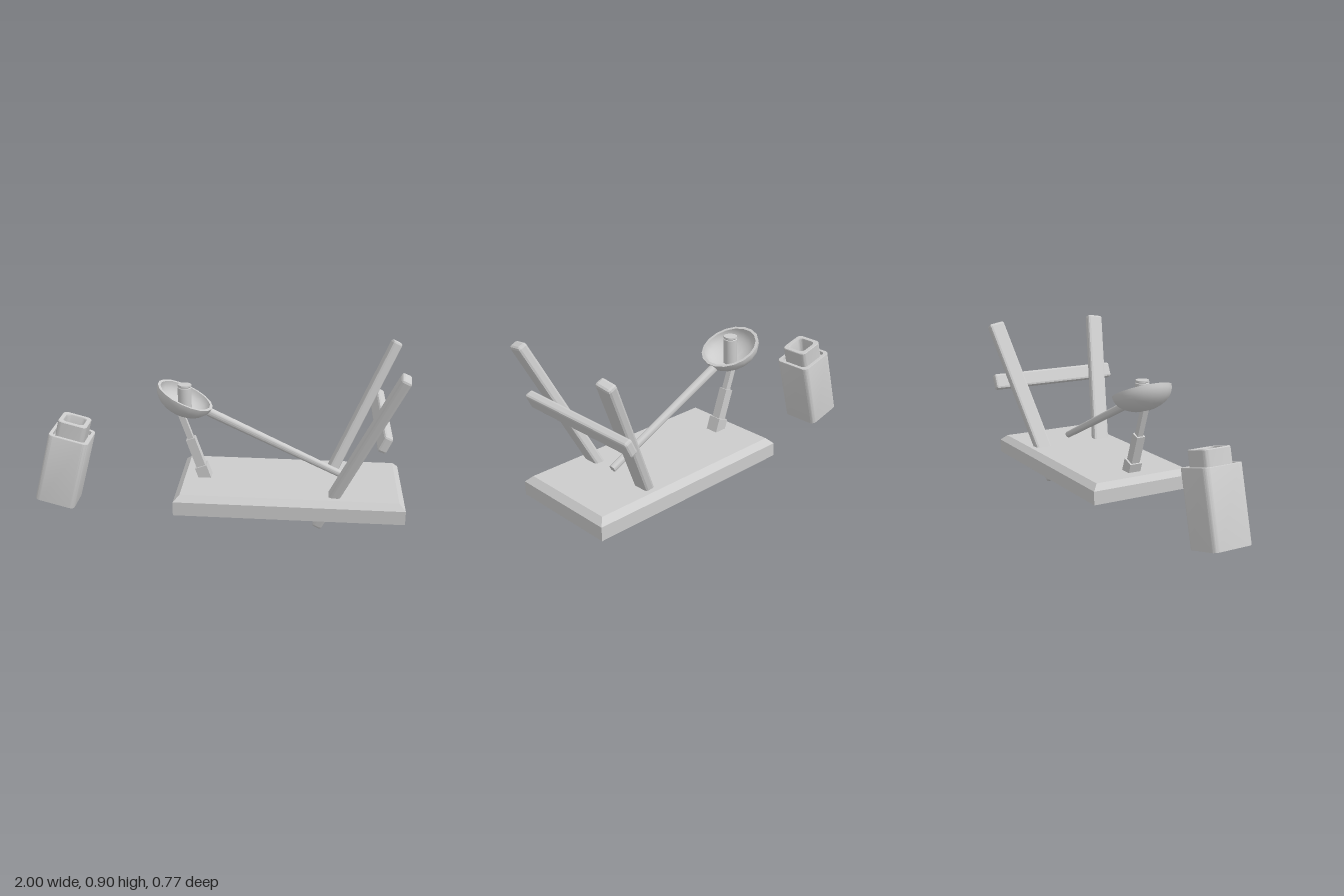
import * as THREE from 'three';
import { toCreasedNormals } from 'three/addons/utils/BufferGeometryUtils.js';
import { RoundedBoxGeometry } from 'three/addons/geometries/RoundedBoxGeometry.js';

const solid = new THREE.MeshStandardMaterial({ color: 0xcccccc });
const shell = new THREE.MeshStandardMaterial({ color: 0xcccccc, side: THREE.DoubleSide });
const TILT = THREE.MathUtils.degToRad(24.9);

function add(parent, name, geometry, material = solid) {
  const mesh = new THREE.Mesh(geometry, material);
  mesh.name = name;
  parent.add(mesh);
  return mesh;
}

// Box with every edge chamfered flat
function chamferBox(w, h, d, c) {
  const g = new RoundedBoxGeometry(w, h, d, 1, c);
  const flat = g.index ? g.toNonIndexed() : g;
  flat.computeVertexNormals();
  return flat;
}

// Rounded rectangle ring at height y, counter-clockwise seen from +z of the plan
function ring(hx, hz, y, r, steps) {
  const pts = [];
  [[1, 1], [-1, 1], [-1, -1], [1, -1]].forEach(([sx, sz], q) => {
    for (let i = 0; i <= steps; i++) {
      const a = (q + (steps ? i / steps : 0)) * Math.PI / 2;
      pts.push([sx * (hx - r) + r * Math.cos(a), y, sz * (hz - r) + r * Math.sin(a)]);
    }
  });
  return pts;
}

// Skin over rings with equal point counts, optionally closed at the last ring
function loft(rings, cap = false) {
  const n = rings[0].length, index = [];
  for (let k = 0; k < rings.length - 1; k++) {
    for (let i = 0; i < n; i++) {
      const a = k * n + i, b = k * n + (i + 1) % n;
      index.push(a, a + n, b, b, a + n, b + n);
    }
  }
  const last = (rings.length - 1) * n;
  if (cap) for (let i = 1; i < n - 1; i++) index.push(last, last + i + 1, last + i);
  const g = new THREE.BufferGeometry();
  g.setAttribute('position', new THREE.Float32BufferAttribute(rings.flat(2), 3));
  g.setIndex(index);
  return toCreasedNormals(g, 0.6);
}

// Cylinder or box whose y axis runs between two points in the plane z = 0
function between(mesh, a, b) {
  mesh.position.set((a[0] + b[0]) / 2, (a[1] + b[1]) / 2, 0);
  mesh.rotation.z = Math.atan2(a[0] - b[0], b[1] - a[1]);
}

export function createModel() {
  const model = new THREE.Group();
  model.name = 'launcher';

  // Deck: hollow tray with a bevelled top edge, open underneath
  const deck = add(model, 'deck', loft([
    ring(0.6, 0.304, 0.1, 0, 0),
    ring(0.6, 0.304, 0.174, 0, 0),
    ring(0.568, 0.272, 0.205, 0, 0),
  ], true), shell);
  deck.position.x = 0.4;

  // Pair of leaning posts, spreading outward as they rise
  for (const side of [1, -1]) {
    const post = add(model, side > 0 ? 'frontPost' : 'backPost', chamferBox(0.055, 0.985, 0.095, 0.014));
    post.position.set(0.755, 0.458, side * 0.244);
    post.rotation.set(side * 0.178, 0, -TILT, 'ZYX');
  }

  // Cross beam on the outer faces of the posts
  const beam = add(model, 'crossBeam', chamferBox(0.048, 0.09, 0.77, 0.012));
  beam.position.set(0.868, 0.565, 0);
  beam.rotation.z = -TILT;

  // Throwing arm, slightly tapered
  const low = [0.678, 0.239], high = [-0.042, 0.573];
  const armLength = Math.hypot(high[0] - low[0], high[1] - low[1]);
  const arm = add(model, 'throwingArm', toCreasedNormals(new THREE.CylinderGeometry(0.024, 0.019, armLength, 16), 0.7));
  between(arm, low, high);

  // Bowl: thick-walled half ellipsoid tilted with the arm
  const profile = [];
  for (let i = 0; i <= 8; i++) {
    const t = i / 8 * Math.PI / 2;
    profile.push(new THREE.Vector2(0.16 * Math.sin(t), -0.107 * Math.cos(t)));
  }
  for (let i = 8; i >= 0; i--) {
    const t = i / 8 * Math.PI / 2;
    profile.push(new THREE.Vector2(0.144 * Math.sin(t), -0.092 * Math.cos(t)));
  }
  const bowl = add(model, 'bowl', toCreasedNormals(new THREE.LatheGeometry(profile, 18), 0.6), shell);
  bowl.position.set(-0.166, 0.663, 0);
  bowl.rotation.z = -TILT;

  // Upright peg standing in the bowl
  const pegProfile = [[0, 0.57], [0.037, 0.57], [0.037, 0.705], [0.033, 0.709], [0.037, 0.713], [0.036, 0.722], [0, 0.722]];
  const peg = add(model, 'peg', toCreasedNormals(
    new THREE.LatheGeometry(pegProfile.map(([x, y]) => new THREE.Vector2(x, y)), 18), 0.6));
  peg.position.x = -0.17;

  // Three-stage strut from the deck to the bowl: [name, x width, z width, from, to]
  const strutPoint = (t) => [-0.062 - 0.125 * t, 0.209 + 0.341 * t];
  const stages = [
    ['strutFoot', 0.066, 0.072, -0.12, 0.165],
    ['strutSleeve', 0.05, 0.05, 0.1, 0.62],
    ['strutRod', 0.032, 0.032, 0.55, 1.08],
  ];
  for (const [name, w, d, from, to] of stages) {
    const a = strutPoint(from), b = strutPoint(to);
    const stage = add(model, name, new THREE.BoxGeometry(w, Math.hypot(b[0] - a[0], b[1] - a[1]), d));
    between(stage, a, b);
  }

  // Leaning square canister: open body, recessed shoulder, hollow neck
  // Each row: half width, height, corner radius
  const sections = [
    [0.111, 0, 0.028], [0.111, 0.39, 0.028], [0.109, 0.393, 0.026], [0.092, 0.393, 0.026],
    [0.09, 0.372, 0.026], [0.08, 0.372, 0.026], [0.08, 0.47, 0.026], [0.077, 0.474, 0.025],
    [0.057, 0.474, 0.024], [0.054, 0.468, 0.024], [0.05, 0.372, 0.022],
  ];
  const canister = add(model, 'canister', loft(sections.map(([h, y, r]) => ring(h, h, y, r, 5))), shell);
  canister.position.set(-0.888, 0.043, 0);
  canister.rotation.z = -0.248;

  return model;
}
